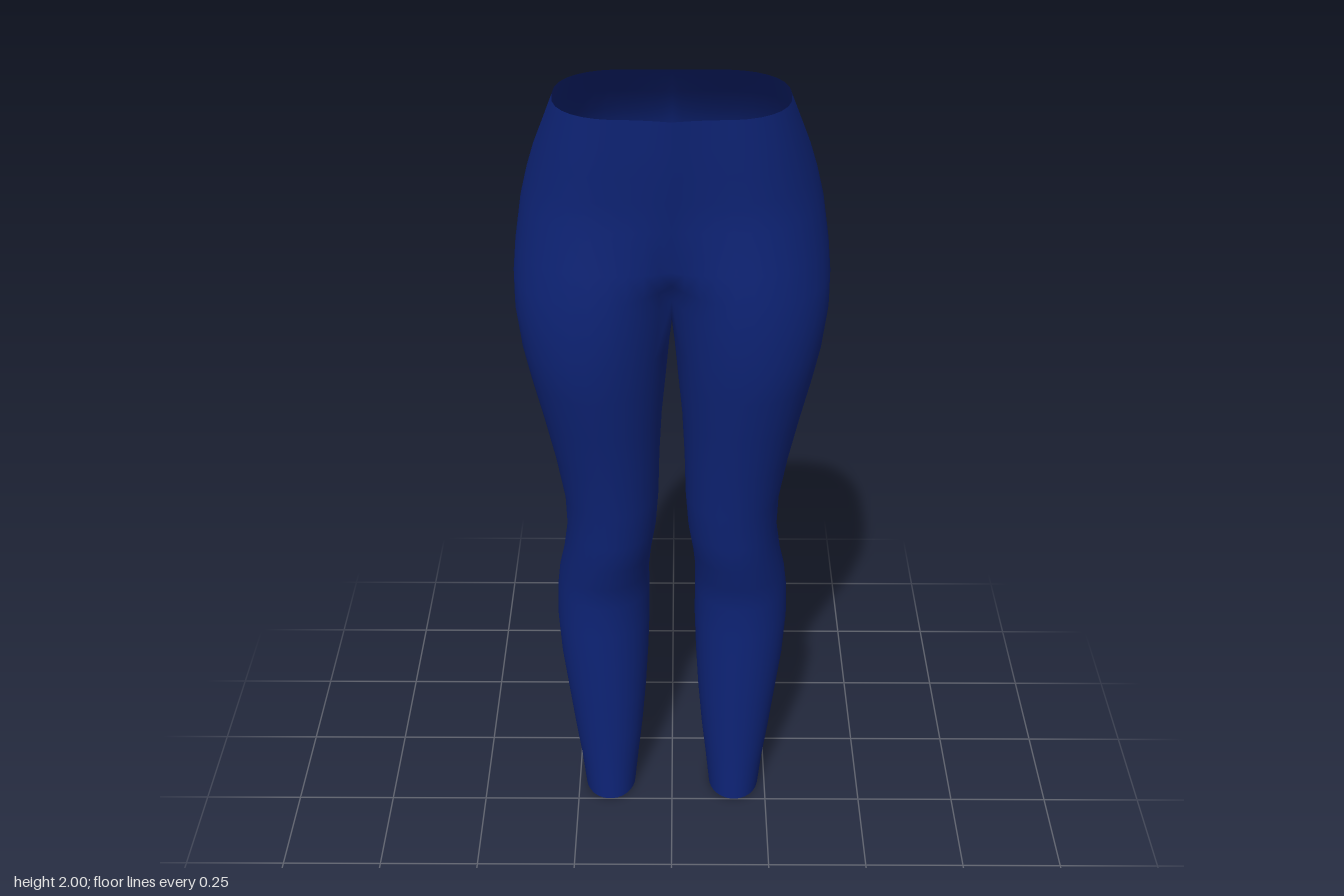
import * as THREE from 'three';
import { mergeVertices } from 'three/addons/utils/BufferGeometryUtils.js';

const N = 30;        // points around one leg, 12 degrees apart
const ARC = 12;      // pelvis sections run from -ARC to +ARC (the body's centre line)
const END = Math.cos((ARC / N) * Math.PI * 2);

// Leg sections: y, inner x, outer x, front z, back z
const LEG = [
  [0, 0.10, 0.232, 0.0, -0.17],
  [0.1, 0.09, 0.242, 0.0, -0.172],
  [0.2, 0.079, 0.256, 0.003, -0.182],
  [0.32, 0.069, 0.271, 0.008, -0.2],
  [0.44, 0.062, 0.286, 0.013, -0.217],
  [0.55, 0.058, 0.293, 0.018, -0.227],
  [0.64, 0.058, 0.29, 0.022, -0.226],
  [0.71, 0.058, 0.282, 0.036, -0.212],
  [0.78, 0.052, 0.268, 0.062, -0.188],
  [0.86, 0.04, 0.257, 0.077, -0.167],
  [0.96, 0.033, 0.259, 0.092, -0.153],
  [1.08, 0.03, 0.277, 0.115, -0.148],
  [1.2, 0.024, 0.3, 0.142, -0.149],
  [1.31, 0.014, 0.323, 0.168, -0.15],
  [1.4, 0.006, 0.34, 0.186, -0.152],
];

// Pelvis sections: y, outer x, front z, front centre z, back z, back centre z, squareness
const PELVIS = [
  [1.5, 0.352, 0.196, 0.1, -0.156, -0.075, 1],
  [1.57, 0.353, 0.198, 0.145, -0.187, -0.125, 1],
  [1.64, 0.347, 0.197, 0.172, -0.215, -0.172, 1],
  [1.74, 0.332, 0.192, 0.187, -0.23, -0.203, 0.97],
  [1.81, 0.315, 0.197, 0.2, -0.218, -0.2, 0.95],
  [1.87, 0.297, 0.204, 0.211, -0.187, -0.18, 0.9],
  [1.93, 0.275, 0.21, 0.221, -0.142, -0.14, 0.85],
  [2.0, 0.25, 0.217, 0.231, -0.08, -0.08, 0.8],
];

// Oval section of a leg
function legPoint([y, xi, xo, zf, zb], j) {
  const a = (j / N) * Math.PI * 2;
  return [(xi + xo) / 2 + ((xo - xi) / 2) * Math.cos(a), y, (zf + zb) / 2 + ((zf - zb) / 2) * Math.sin(a)];
}

// Half section of the pelvis, dipping towards the centre line
function pelvisPoint([y, xo, zf, zfc, zb, zbc, sq], j, row) {
  const k = j > N / 2 ? j - N : j;
  const a = (k / N) * Math.PI * 2;
  const front = k >= 0;
  const lift = row === 0 ? 0.04 : row === 1 ? 0.025 : 0;
  if (Math.abs(k) >= ARC) {
    // Crotch seam, sagging between its front and back ends
    const t = (j - ARC) / (N - 2 * ARC);
    return [0, y + lift - 0.09 * Math.sin(t * Math.PI) * (row === 0 ? 1 : 0), zfc + (zbc - zfc) * t];
  }
  const x = (xo * (Math.cos(a) - END)) / (1 - END);
  const edge = front ? zf : zb;
  const mid = (zf + zb) / 2;
  const inward = Math.max(0, (Math.abs(k) - N / 4) / (ARC - N / 4));
  const s = inward * inward * (1.6 - 0.6 * inward);
  const z = inward > 0
    ? edge + ((front ? zfc : zbc) - edge) * s
    : mid + (edge - mid) * Math.pow(Math.abs(Math.sin(a)), sq);
  return [x, y + lift * s, z];
}

function buildLeggings() {
  const pos = [];
  const index = [];
  const rows = LEG.length + PELVIS.length;
  for (const side of [1, -1]) {
    const base = pos.length / 3;
    for (let r = 0; r < rows; r++) {
      const p = r - LEG.length;
      for (let j = 0; j < N; j++) {
        const [x, y, z] = p < 0 ? legPoint(LEG[r], j) : pelvisPoint(PELVIS[p], j, p);
        pos.push(x === 0 ? 0 : x * side, y, z);
      }
    }
    for (let r = 0; r < rows - 1; r++) {
      for (let j = 0; j < N; j++) {
        // Above the crotch only the outer arc goes on
        if (r >= LEG.length && j >= ARC && j < N - ARC) continue;
        const a = base + r * N + j;
        const b = base + r * N + ((j + 1) % N);
        const c = a + N;
        const d = b + N;
        if (side > 0) index.push(a, c, b, b, c, d);
        else index.push(a, b, c, b, d, c);
      }
    }
  }
  let geo = new THREE.BufferGeometry();
  geo.setAttribute('position', new THREE.Float32BufferAttribute(pos, 3));
  geo.setIndex(index);
  geo = mergeVertices(geo, 1e-5); // joins both halves along the centre seam
  geo.computeVertexNormals();
  return geo;
}

export function createModel() {
  const group = new THREE.Group();
  group.name = 'leggings';
  const navy = new THREE.MeshStandardMaterial({ color: 0x0e2478, side: THREE.DoubleSide });
  navy.name = 'navy fabric';
  const fabric = new THREE.Mesh(buildLeggings(), navy);
  fabric.name = 'leggingsFabric';
  group.add(fabric);
  return group;
}
